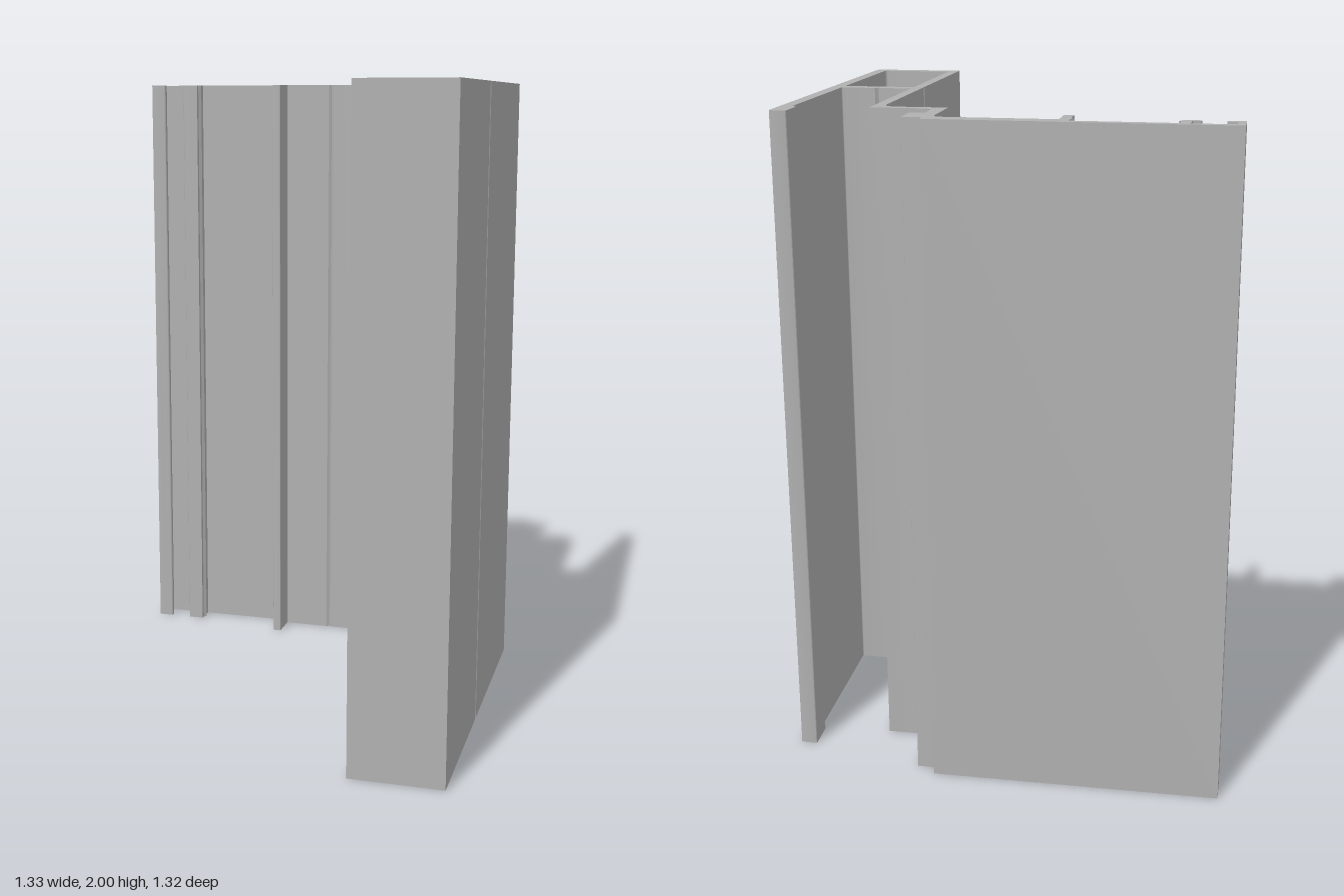
import * as THREE from 'three';
import { toCreasedNormals } from 'three/addons/utils/BufferGeometryUtils.js';

const HEIGHT = 2;

// Draws a closed outline through [x, z, radius] corners, rounding those with a radius
function trace(path, corners) {
  const n = corners.length;
  const toward = (a, b, r) => {
    const dx = b[0] - a[0], dz = b[1] - a[1], len = Math.hypot(dx, dz);
    return [a[0] + (dx / len) * r, a[1] + (dz / len) * r];
  };
  corners.forEach((c, i) => {
    const r = c[2] || 0;
    const start = r ? toward(c, corners[(i + n - 1) % n], r) : c;
    if (i === 0) path.moveTo(start[0], start[1]);
    else path.lineTo(start[0], start[1]);
    if (r) {
      const end = toward(c, corners[(i + 1) % n], r);
      path.quadraticCurveTo(c[0], c[1], end[0], end[1]);
    }
  });
  path.closePath();
  return path;
}

// Back panel, outer side, with the raised step at its end
const backFace = [[-0.666, -0.66], [0.203, -0.66], [0.203, -0.63], [0.21, -0.625]];
const sealStep = [[0.263, -0.625, 0.004], [0.263, -0.53, 0.004], [0.219, -0.53], [0.219, -0.433, 0.035]];

// Open channel between the inner wall and the outer wall, with V groove and thick lip
const channel = [
  [0.403, -0.433], [0.403, 0.065, 0.005],
  [0.5, 0.065], [0.51, 0.073], [0.52, 0.065],
  [0.628, 0.065, 0.005], [0.628, -0.436, 0.006], [0.613, -0.449, 0.006],
  [0.613, -0.543, 0.006], [0.664, -0.543, 0.006],
];

// Outside of the box section, with marking grooves
const boxOutside = [
  [0.664, 0.105], [0.658, 0.113], [0.664, 0.121],
  [0.664, 0.656], [0.371, 0.656],
  [0.371, 0.121], [0.377, 0.113], [0.371, 0.105],
];

// Inner side of the stepped web and back panel
const innerWeb = [
  [0.371, -0.403, 0.045], [0.18, -0.403], [0.18, -0.607, 0.028],
  [0.003, -0.607], [-0.006, -0.614], [-0.015, -0.607],
];

// Short rib, then the hooked clip track at the free edge
const rib = [
  [-0.168, -0.607], [-0.168, -0.513, 0.004], [-0.197, -0.513, 0.004],
  [-0.197, -0.58], [-0.206, -0.59], [-0.197, -0.6], [-0.197, -0.633],
];
const clipTrack = [
  [-0.495, -0.633], [-0.495, -0.6], [-0.487, -0.591], [-0.495, -0.582],
  [-0.495, -0.568], [-0.549, -0.568, 0.009], [-0.549, -0.587, 0.009],
  [-0.522, -0.587, 0.008], [-0.522, -0.635],
  [-0.643, -0.635], [-0.643, -0.587, 0.008],
  [-0.615, -0.587, 0.009], [-0.615, -0.568, 0.009], [-0.666, -0.568],
];

// Hollow of the box section
const boxHollow = [
  [0.403, 0.109, 0.01], [0.628, 0.109, 0.01], [0.628, 0.616, 0.01], [0.403, 0.616, 0.01],
];

export function createModel() {
  const aluminium = new THREE.MeshStandardMaterial({ color: 0xb0b0b0 });
  aluminium.name = 'grey aluminium';

  const section = trace(new THREE.Shape(), [
    ...backFace, ...sealStep, ...channel, ...boxOutside, ...innerWeb, ...rib, ...clipTrack,
  ]);
  section.holes.push(trace(new THREE.Path(), boxHollow));

  // Stand the extruded section upright
  const geometry = new THREE.ExtrudeGeometry(section, {
    depth: HEIGHT, bevelEnabled: false, curveSegments: 6,
  });
  geometry.rotateX(Math.PI / 2);
  geometry.translate(0, HEIGHT, 0);

  const profile = new THREE.Mesh(toCreasedNormals(geometry, 0.5), aluminium);
  profile.name = 'extrudedFrameProfile';

  const model = new THREE.Group();
  model.name = 'frameProfile';
  model.add(profile);
  return model;
}
